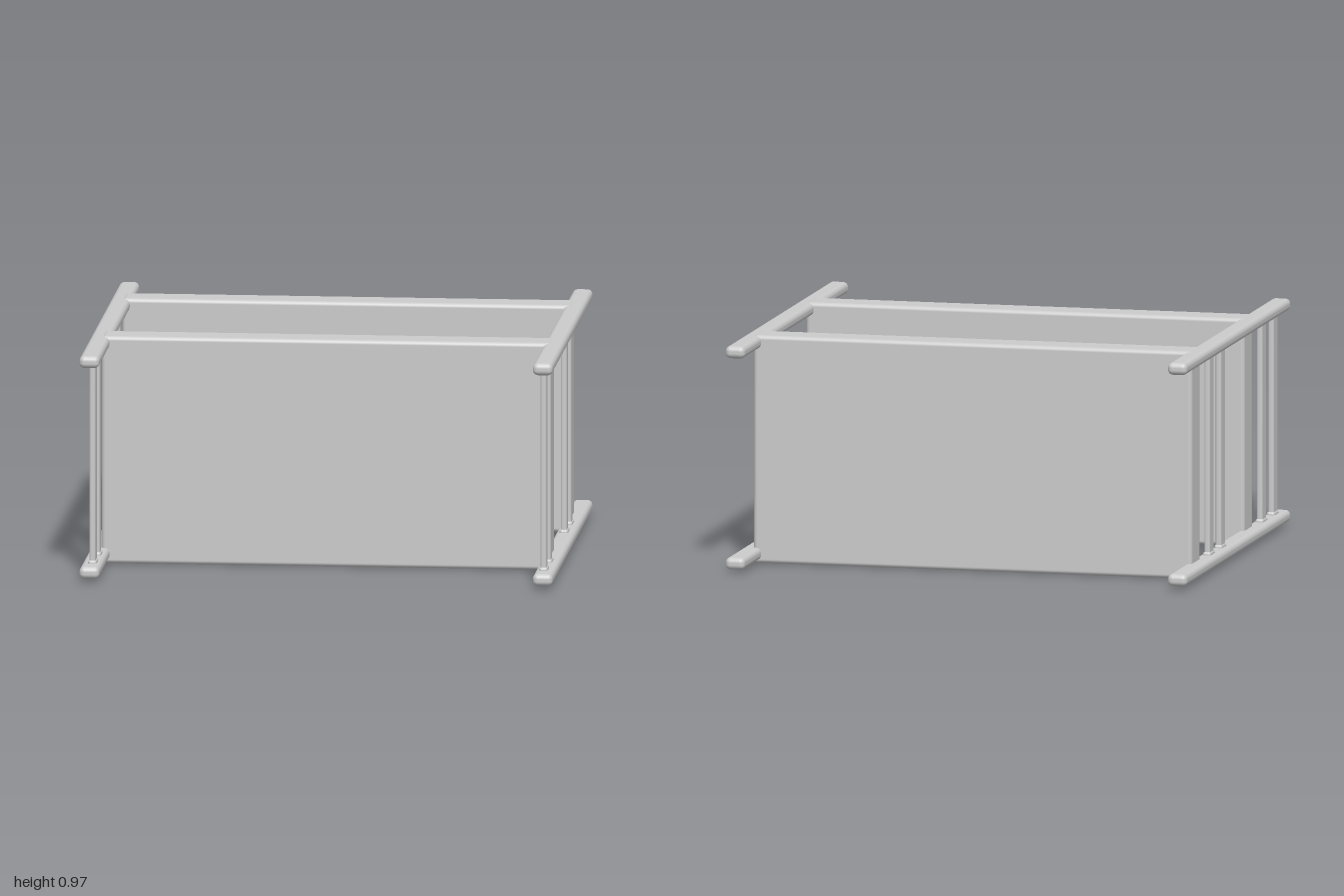
import * as THREE from 'three';
import { RoundedBoxGeometry } from 'three/addons/geometries/RoundedBoxGeometry.js';

export function createModel() {
  const group = new THREE.Group();
  const material = new THREE.MeshStandardMaterial({ color: 0xcccccc });

  // Rounded box given by its size and centre
  const block = (name, size, centre, radius) => {
    const mesh = new THREE.Mesh(new RoundedBoxGeometry(...size, 4, radius), material);
    mesh.name = name;
    mesh.position.set(...centre);
    group.add(mesh);
  };

  // Two thick upright panels spanning the width
  block('frontPanel', [1.9, 0.97, 0.15], [0, 0.485, 0.375], 0.018);
  block('backPanel', [1.9, 0.97, 0.15], [0, 0.485, -0.555], 0.018);

  for (const [side, s] of [['left', 1], ['right', -1]]) {
    // Long rails along the top and bottom of each end
    block(side + 'LowerRail', [0.084, 0.052, 1.86], [s * 0.958, 0.04, 0], 0.022);
    block(side + 'UpperRail', [0.084, 0.052, 1.86], [s * 0.958, 0.94, 0], 0.022);

    // Flat slats in two pairs, with small flares where they meet the rails
    for (const z of [0.793, 0.592, -0.137, -0.338]) {
      block(side + 'Slat', [0.026, 0.9, 0.074], [s * 0.953, 0.49, z], 0.01);
      for (const y of [0.065, 0.915]) {
        block(side + 'SlatFoot', [0.036, 0.03, 0.088], [s * 0.953, y, z], 0.012);
      }
    }
  }
  return group;
}
